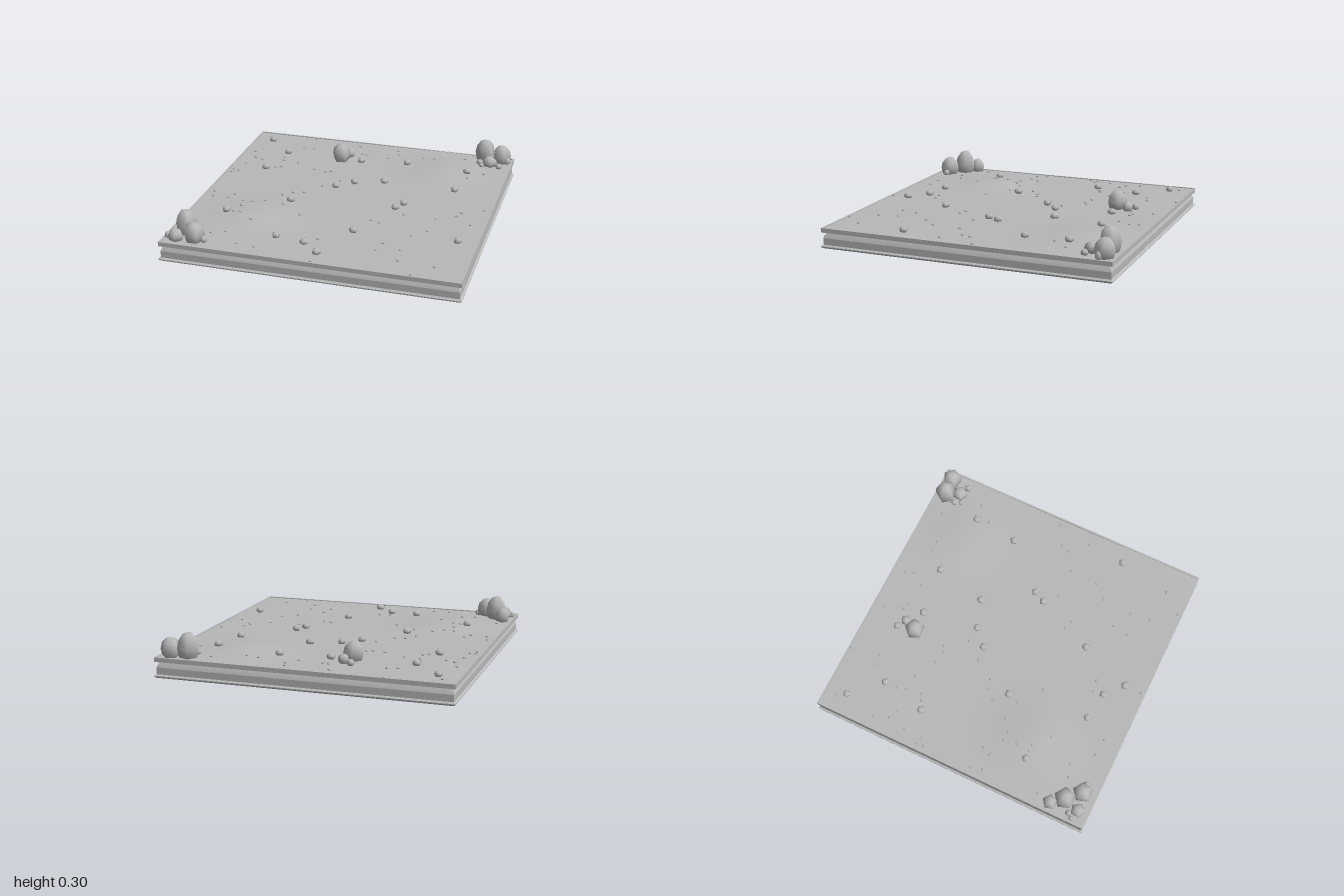
import * as THREE from 'three';
import { toCreasedNormals } from 'three/addons/utils/BufferGeometryUtils.js';

// Gently rolling ground height
function groundHeight(x, z) {
  const hump = (cx, cz, r) => Math.exp(-((x - cx) ** 2 + (z - cz) ** 2) / (r * r));
  return 0.139 + 0.026 * hump(-0.55, 0.43, 0.24) + 0.025 * hump(0.52, -0.64, 0.24)
    + 0.003 * Math.sin(4 * x + 1) * Math.cos(5 * z);
}

export function createModel() {
  const model = new THREE.Group();
  const stone = new THREE.MeshStandardMaterial({ color: 0xb8b8b8 });
  stone.name = 'grey stone';

  let seed = 7;
  const random = () => {
    seed = (seed * 16807) % 2147483647;
    return seed / 2147483647;
  };

  function add(name, geometry, parent = model) {
    const mesh = new THREE.Mesh(geometry, stone);
    mesh.name = name;
    parent.add(mesh);
    return mesh;
  }

  // Square moulded plinth: a half-width/height profile swept round four sides
  const profile = [
    [0, 0.006], [0.985, 0.006], [0.998, 0.016], [0.998, 0.022], [0.985, 0.03],
    [0.985, 0.075], [0.978, 0.092], [0.965, 0.112], [0.995, 0.114],
    [0.995, 0.144], [0.983, 0.144], [0.983, 0.132],
  ].map(([r, y]) => new THREE.Vector2(r * Math.SQRT2, y));
  const plinth = new THREE.LatheGeometry(profile, 4, Math.PI / 4);
  add('plinth', toCreasedNormals(plinth, 0.2));

  // Ground surface inside the rim
  const ground = new THREE.PlaneGeometry(1.968, 1.968, 40, 40).rotateX(-Math.PI / 2);
  const p = ground.attributes.position;
  for (let i = 0; i < p.count; i++) p.setY(i, groundHeight(p.getX(i), p.getZ(i)));
  ground.computeVertexNormals();
  add('ground', ground);

  // Five-sided rounded boulder, sunk into the ground
  const rockGeometry = new THREE.SphereGeometry(1, 5, 6);
  function rock(name, parent, x, z, radius, top) {
    const base = groundHeight(x, z);
    const half = (top - base) * 0.62;
    const mesh = add(name, rockGeometry, parent);
    mesh.position.set(x, top - half, z);
    mesh.scale.set(radius, half, radius);
    mesh.rotation.y = random() * Math.PI * 2;
  }

  // Boulder clusters: x, z, radius, top
  const clusters = {
    backLeftBoulders: [
      [0.79, -0.91, 0.074, 0.31], [0.91, -0.92, 0.07, 0.27], [0.84, -0.82, 0.055, 0.215],
      [0.765, -0.83, 0.025, 0.18], [0.91, -0.79, 0.025, 0.18], [0.955, -0.895, 0.025, 0.19],
      [0.785, -0.785, 0.02, 0.17],
    ],
    frontRightBoulders: [
      [-0.87, 0.81, 0.074, 0.31], [-0.78, 0.9, 0.07, 0.27], [-0.93, 0.73, 0.052, 0.24],
      [-0.9, 0.92, 0.052, 0.215], [-0.715, 0.9, 0.025, 0.18], [-0.94, 0.87, 0.025, 0.19],
      [-0.965, 0.9, 0.02, 0.18],
    ],
    backBoulders: [
      [-0.24, -0.63, 0.07, 0.27], [-0.2, -0.72, 0.037, 0.2], [-0.26, -0.76, 0.027, 0.18],
    ],
  };
  for (const [name, rocks] of Object.entries(clusters)) {
    const group = new THREE.Group();
    group.name = name;
    model.add(group);
    for (const r of rocks) rock('boulder', group, ...r);
  }

  // Scattered stones: x, z
  const stones = new THREE.Group();
  stones.name = 'scatteredStones';
  model.add(stones);
  const stoneSpots = [
    [-0.85, -0.84], [-0.66, -0.64], [-0.09, -0.64], [0.25, -0.68], [0.71, -0.62],
    [-0.73, -0.33], [0.17, -0.32], [-0.03, -0.25], [0.68, -0.31], [-0.14, -0.15],
    [0.39, 0], [0.35, 0.08], [-0.37, 0.16], [-0.73, 0.46], [0.17, 0.49],
    [0.86, 0.46], [-0.29, 0.71], [-0.09, 0.74], [0.03, 0.85],
  ];
  for (const [x, z] of stoneSpots) {
    rock('stone', stones, x, z, 0.027 + random() * 0.005, groundHeight(x, z) + 0.037);
  }

  // Tiny pebbles: x, z
  const pebbles = new THREE.Group();
  pebbles.name = 'pebbles';
  model.add(pebbles);
  const pebbleSpots = [
    [-0.89, -0.9], [-0.54, -0.97], [-0.17, -0.91], [0.13, -0.9], [0.15, -0.84],
    [0.65, -0.87], [0.35, -0.8], [0.43, -0.8], [-0.57, -0.75], [-0.5, -0.77],
    [-0.12, -0.78], [-0.08, -0.77], [0.09, -0.75], [-0.91, -0.6], [-0.87, -0.5],
    [-0.81, -0.47], [-0.66, -0.55], [-0.64, -0.49], [-0.53, -0.48], [-0.67, -0.36],
    [-0.63, -0.38], [-0.38, -0.4], [-0.29, -0.38], [-0.25, -0.4], [-0.9, -0.37],
    [-0.95, -0.25], [-0.91, -0.24], [-0.95, -0.2], [-0.14, -0.26], [-0.24, -0.14],
    [0.73, -0.53], [0.83, -0.64], [0.94, -0.06], [0.8, 0.02], [-0.4, 0.02],
    [-0.33, 0], [-0.46, 0.08], [-0.94, 0.15], [-0.92, 0.23], [-0.81, 0.23],
    [-0.78, 0.17], [-0.68, 0.27], [-0.61, 0.27], [-0.54, 0.22], [-0.4, 0.24],
    [-0.66, 0.36], [-0.24, 0.36], [-0.68, 0.46], [-0.63, 0.46], [-0.52, 0.55],
    [-0.91, 0.63], [-0.63, 0.74], [-0.72, 0.77], [-0.5, 0.87], [-0.38, 0.88],
    [-0.1, 0.67], [-0.02, 0.66], [0.24, 0.3], [0.3, 0.32], [0.43, 0.16],
    [0.65, 0.16], [0.78, 0.08], [0.89, 0.19], [0.64, 0.36], [0.55, 0.45],
    [0.4, 0.6], [0.38, 0.71], [0.53, 0.67], [0.55, 0.81], [0.79, 0.83],
    [0.67, 0.97], [0.03, 0.97],
  ];
  for (const [x, z] of pebbleSpots) {
    rock('pebble', pebbles, x, z, 0.009 + random() * 0.003, groundHeight(x, z) + 0.012);
  }

  return model;
}
